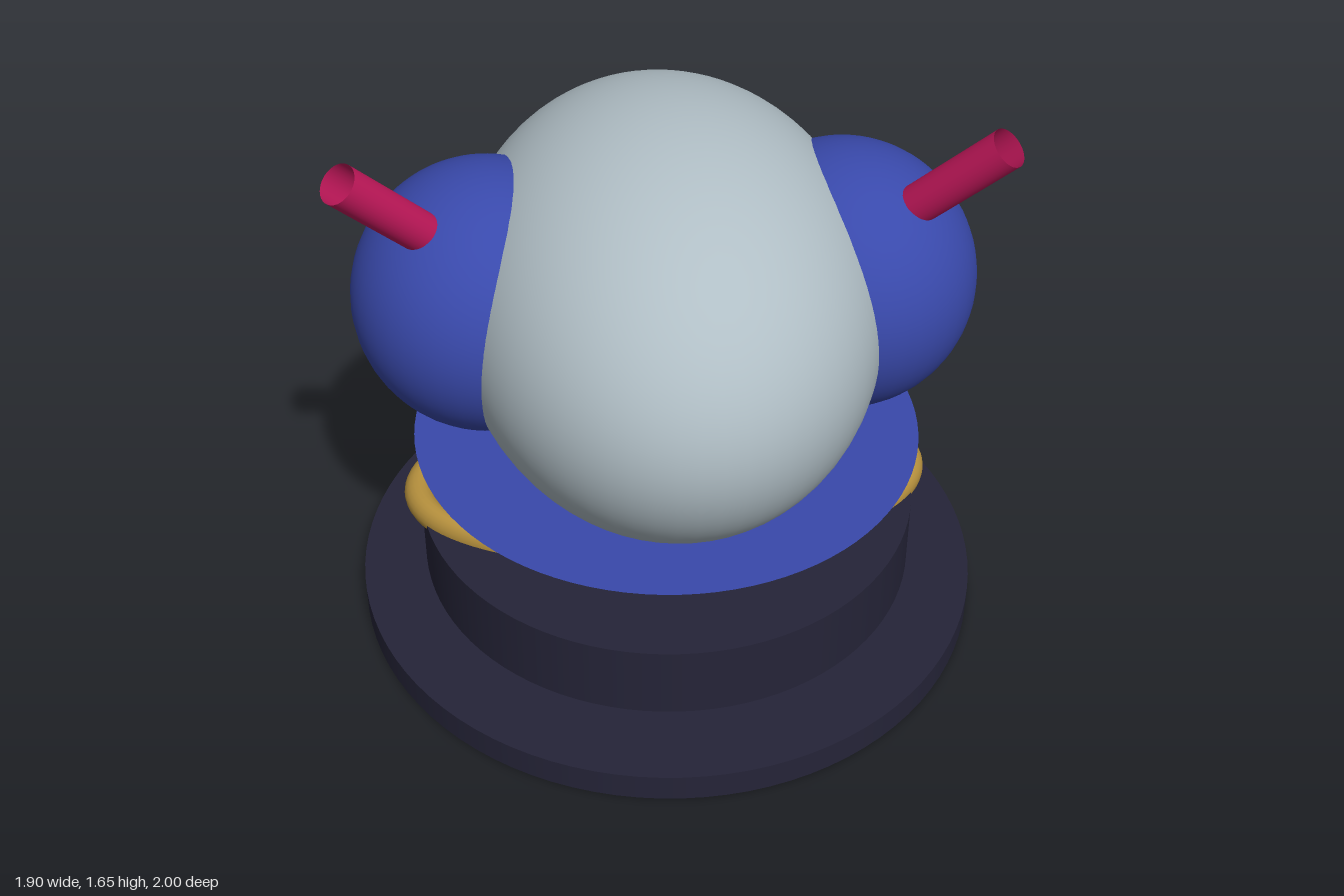
import * as THREE from 'three';

const paint = (name, color, side = THREE.FrontSide) => {
  const m = new THREE.MeshStandardMaterial({ color, side });
  m.name = name;
  return m;
};

export function createModel() {
  const grey = paint('pale grey', 0xb0bec5);
  const blue = paint('royal blue', 0x3949ab);
  const dark = paint('dark navy', 0x252438);
  const gold = paint('old gold', 0xb8923e);
  const pink = paint('magenta', 0xc2185b, THREE.DoubleSide);

  const model = new THREE.Group();
  const SQUASH = 0.952; // round parts are slightly narrower in x than in z

  const add = (name, geometry, material, position = [0, 0, 0], scale = [1, 1, 1]) => {
    const mesh = new THREE.Mesh(geometry, material);
    mesh.name = name;
    mesh.position.set(...position);
    mesh.scale.set(...scale);
    model.add(mesh);
    return mesh;
  };

  // Two floating elliptical slabs
  const slab = (name, radius, bottom, top) =>
    add(name, new THREE.CylinderGeometry(radius, radius, top - bottom, 96), dark,
      [0, (bottom + top) / 2, 0], [SQUASH, 1, 1]);
  slab('basePlate', 1, 0, 0.083);
  slab('pedestal', 0.795, 0.13, 0.352);

  // Long flattened ring lying on the pedestal
  const ring = new THREE.TorusGeometry(0.8, 0.048, 20, 96).rotateX(Math.PI / 2);
  add('ring', ring, gold, [0, 0.357, 0], [SQUASH, 1, 0.49]);

  // Shallow closed dish: cone, short foot and flat lid
  const foot = 0.16, rim = 0.8;
  add('dishFoot', new THREE.CylinderGeometry(foot, foot, 0.015, 64), blue,
    [0, 0.4125, 0], [SQUASH, 1, 1]);
  add('dish', new THREE.CylinderGeometry(rim, foot, 0.157, 96), blue,
    [0, 0.4975, 0], [SQUASH, 1, 1]);

  // Egg-shaped body
  add('body', new THREE.SphereGeometry(1, 64, 48), grey, [0, 1.015, 0], [0.62, 0.595, 0.857]);

  // Side bulbs, each with an open tube pointing up, out and forward
  for (const [side, s] of [['left', 1], ['right', -1]]) {
    add(side + 'Bulb', new THREE.SphereGeometry(1, 48, 32), blue,
      [s * 0.515, 1.067, 0], [0.39, 0.393, 0.407]);

    const start = new THREE.Vector3(s * 0.675, 1.36, 0.147);
    const end = new THREE.Vector3(s * 0.88, 1.612, 0.297);
    const axis = end.clone().sub(start);
    const tube = add(side + 'Tube',
      new THREE.CylinderGeometry(0.058, 0.058, axis.length(), 32, 1, true), pink,
      start.clone().add(end).multiplyScalar(0.5).toArray());
    tube.quaternion.setFromUnitVectors(new THREE.Vector3(0, 1, 0), axis.normalize());
  }

  return model;
}
